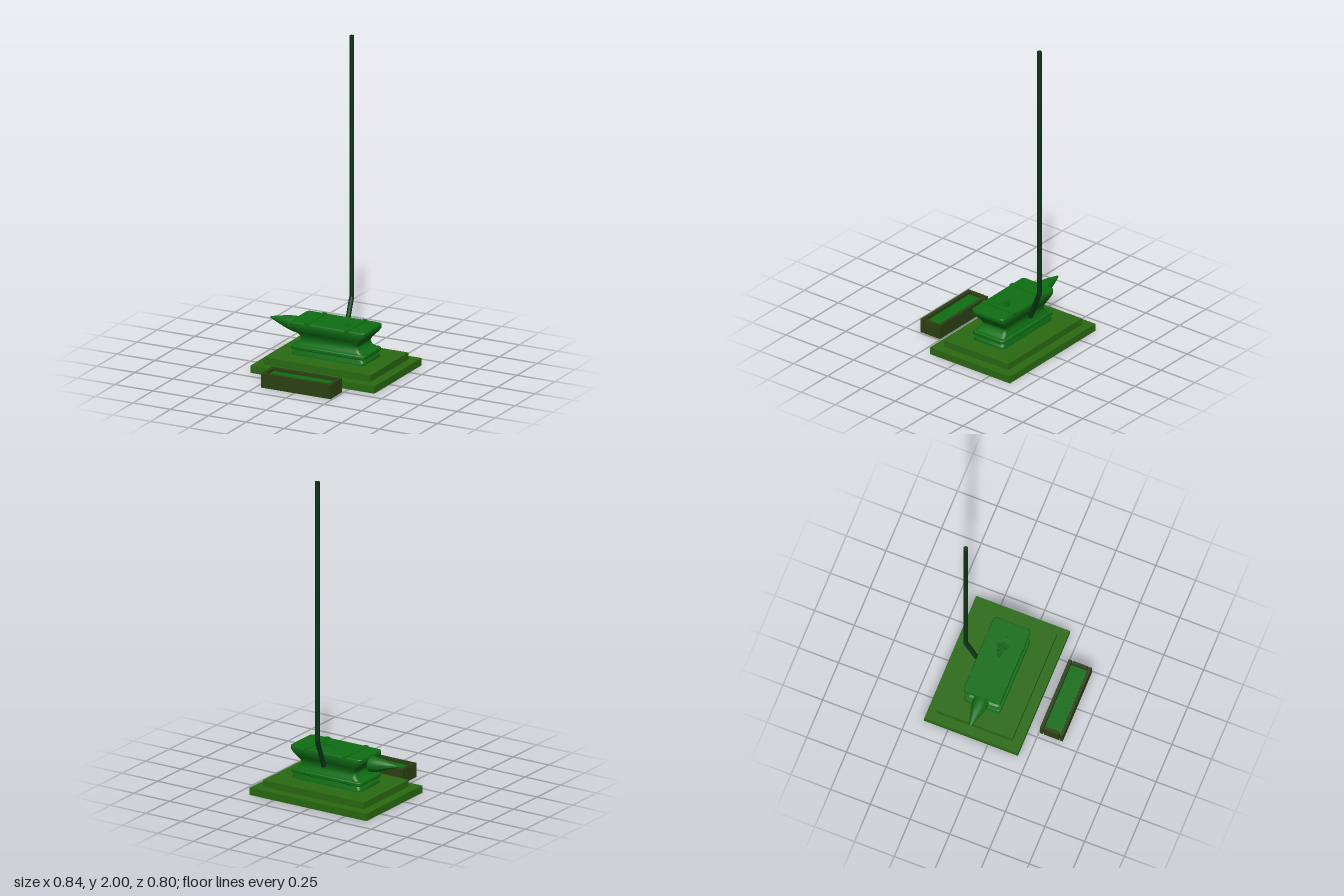
import * as THREE from 'three';
import { toCreasedNormals } from 'three/addons/utils/BufferGeometryUtils.js';

const mat = (color) => new THREE.MeshStandardMaterial({ color });
const CX = 0.01, CZ = -0.105; // centre of base and anvil

// Rounded-rectangle outline, half sizes hx and hz, corner radius r
function outline(hx, hz, r, steps = 4) {
  const pts = [];
  for (let q = 0; q < 4; q++) {
    const sx = q === 0 || q === 3 ? 1 : -1, sz = q < 2 ? 1 : -1;
    for (let i = 0; i <= steps; i++) {
      const a = (q + i / steps) * Math.PI / 2;
      pts.push([sx * (hx - r) + r * Math.cos(a), sz * (hz - r) + r * Math.sin(a)]);
    }
  }
  return pts;
}

// Closed solid through sections [y, hx, hz], from bottom to top
function loft(sections, r) {
  const pos = [], idx = [];
  let n = 0;
  for (const [y, hx, hz] of sections) {
    const ring = outline(hx, hz, r);
    n = ring.length;
    for (const [x, z] of ring) pos.push(x, y, z);
  }
  const last = sections.length - 1;
  for (let s = 0; s < last; s++) {
    for (let i = 0; i < n; i++) {
      const j = (i + 1) % n, a = s * n + i, b = s * n + j;
      idx.push(a, a + n, b, b, a + n, b + n);
    }
  }
  for (let i = 1; i < n - 1; i++) {
    idx.push(0, i, i + 1);
    idx.push(last * n, last * n + i + 1, last * n + i);
  }
  const g = new THREE.BufferGeometry();
  g.setAttribute('position', new THREE.Float32BufferAttribute(pos, 3));
  g.setIndex(idx);
  return toCreasedNormals(g, 0.6);
}

export function createModel() {
  const root = new THREE.Group();
  const stone = mat(0x2a6a12), iron = mat(0x0f6e14), wood = mat(0x2c4214), dark = mat(0x0b3216);
  const add = (parent, name, geometry, material, x = 0, y = 0, z = 0) => {
    const m = new THREE.Mesh(geometry, material);
    m.name = name;
    m.position.set(x, y, z);
    parent.add(m);
    return m;
  };
  // Box given by its limits
  const box = (parent, name, material, x0, x1, y0, y1, z0, z1) =>
    add(parent, name, new THREE.BoxGeometry(x1 - x0, y1 - y0, z1 - z0), material,
      (x0 + x1) / 2, (y0 + y1) / 2, (z0 + z1) / 2);

  // Stepped plinth
  box(root, 'lowerStep', stone, -0.4, 0.42, 0, 0.045, -0.4, 0.19);
  box(root, 'upperStep', stone, -0.343, 0.363, 0.045, 0.087, -0.343, 0.132);

  // Anvil
  const anvil = new THREE.Group();
  anvil.name = 'anvil';
  anvil.position.set(CX, 0, CZ);
  root.add(anvil);
  add(anvil, 'anvilBody', loft([
    [0.087, 0.24, 0.112], [0.1, 0.24, 0.112], [0.122, 0.225, 0.103], [0.145, 0.225, 0.103],
    [0.16, 0.203, 0.097], [0.175, 0.191, 0.093], [0.19, 0.189, 0.092], [0.205, 0.196, 0.095],
    [0.222, 0.212, 0.102], [0.245, 0.234, 0.112], [0.265, 0.248, 0.116], [0.285, 0.249, 0.117],
    [0.29, 0.246, 0.114],
  ], 0.02), iron);
  add(anvil, 'footBand', loft([
    [0.122, 0.241, 0.112], [0.126, 0.245, 0.116], [0.141, 0.245, 0.116], [0.146, 0.241, 0.112],
  ], 0.02), iron);
  for (const x of [-0.135, 0.132]) {
    box(anvil, 'strap', iron, x - 0.014, x + 0.014, 0.265, 0.294, -0.119, 0.119);
  }

  // Horn: convex taper whose tip is lifted
  const hornGeo = new THREE.LatheGeometry([
    [0, 0], [0.048, 0], [0.0475, 0.02], [0.042, 0.055], [0.033, 0.09],
    [0.022, 0.13], [0.011, 0.165], [0.005, 0.183], [0, 0.186],
  ].map(([r, h]) => new THREE.Vector2(r, h)), 24);
  hornGeo.rotateZ(Math.PI / 2);
  const p = hornGeo.attributes.position;
  for (let i = 0; i < p.count; i++) p.setY(i, p.getY(i) - p.getX(i) * 0.1);
  add(anvil, 'horn', toCreasedNormals(hornGeo, 0.7), iron, -0.248, 0.236, 0);

  // Fan of thin raised chips on the face
  for (let i = -3; i <= 3; i++) {
    const angle = i * 0.125, length = i === 0 ? 0.15 : 0.1;
    const chip = new THREE.ConeGeometry(0.004, length, 4);
    chip.rotateZ(Math.PI / 2);
    chip.scale(1, 0.9, 1);
    chip.translate(length / 2, 0, 0);
    add(anvil, 'faceChip', chip, iron, 0.013, 0.29, 0).rotation.y = angle;
  }

  // Bent pole behind the anvil
  const path = new THREE.CurvePath();
  const foot = new THREE.Vector3(CX, 0.212, -0.234);
  const bend = new THREE.Vector3(CX, 0.39, -0.302);
  const top = new THREE.Vector3(CX, 2, -0.302);
  const poleBar = (name, a, b) => {
    const m = add(root, name, new THREE.CylinderGeometry(0.0145, 0.0145, a.distanceTo(b), 16), dark);
    m.position.addVectors(a, b).multiplyScalar(0.5);
    m.quaternion.setFromUnitVectors(new THREE.Vector3(0, 1, 0), b.clone().sub(a).normalize());
  };
  poleBar('poleFoot', foot, bend);
  poleBar('poleShaft', bend, top);
  add(root, 'poleBend', new THREE.SphereGeometry(0.0145, 16, 10), dark, bend.x, bend.y, bend.z);

  // Trough of four planks with a liquid surface inside
  const trough = new THREE.Group();
  trough.name = 'trough';
  root.add(trough);
  for (const z of [0.256, 0.38]) box(trough, 'longPlank', wood, -0.22, 0.24, 0, 0.088, z, z + 0.02);
  for (const x of [-0.22, 0.22]) box(trough, 'endPlank', wood, x, x + 0.02, 0, 0.088, 0.281, 0.375);
  const liquid = new THREE.PlaneGeometry(0.416, 0.098);
  liquid.rotateX(-Math.PI / 2);
  add(trough, 'liquid', liquid, iron, CX, 0.07, 0.328);

  return root;
}
